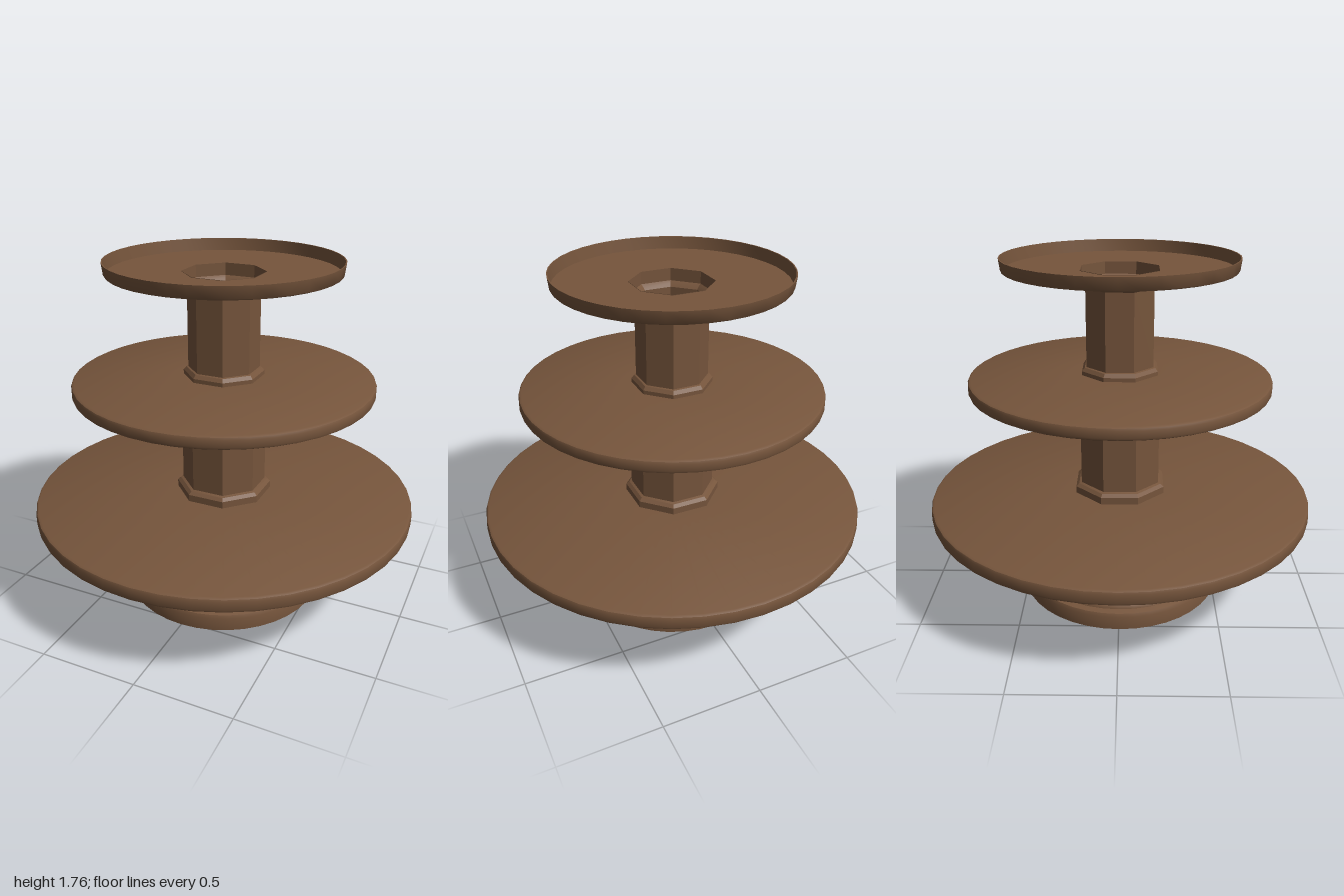
import * as THREE from 'three';
import { toCreasedNormals } from 'three/addons/utils/BufferGeometryUtils.js';

const wood = new THREE.MeshStandardMaterial({ color: 0x76553c, side: THREE.DoubleSide });
wood.name = 'brown wood';

// Turned part from [radius, y] points, listed bottom to top
function turned(name, profile, segments = 40) {
  const points = profile.map(([r, y]) => new THREE.Vector2(r, y));
  const geometry = toCreasedNormals(new THREE.LatheGeometry(points, segments), 0.6);
  const mesh = new THREE.Mesh(geometry, wood);
  mesh.name = name;
  return mesh;
}

// Eight-sided part with flats facing the axes, from [half width, y] points
function octagonal(name, profile) {
  const k = 1 / Math.cos(Math.PI / 8);
  const points = profile.map(([a, y]) => new THREE.Vector2(a * k, y));
  const geometry = new THREE.LatheGeometry(points, 8, Math.PI / 8);
  const mesh = new THREE.Mesh(toCreasedNormals(geometry, 0.3), wood);
  mesh.name = name;
  return mesh;
}

// Round shelf with softened edge and slightly raised centre
function shelf(name, r, bottom, top, centre) {
  return turned(name, [
    [0, bottom], [r - 0.015, bottom], [r - 0.004, bottom + 0.006], [r, bottom + 0.016],
    [r, top - 0.016], [r - 0.004, top - 0.006], [r - 0.015, top], [0.2, centre], [0, centre],
  ], 44);
}

export function createModel() {
  const group = new THREE.Group();
  group.name = 'tieredDisplayStand';

  // Moulded round foot and drum
  group.add(turned('base', [
    [0, 0], [0.525, 0], [0.527, 0.07], [0.52, 0.087], [0.492, 0.095], [0.488, 0.11],
    [0.472, 0.125], [0.468, 0.15], [0.46, 0.165], [0.458, 0.19], [0.435, 0.19],
    [0.435, 0.43], [0.45, 0.44], [0.45, 0.458],
  ]));

  // Lower and middle shelves
  group.add(shelf('lowerShelf', 0.99, 0.455, 0.53, 0.545));
  group.add(shelf('middleShelf', 0.762, 1.11, 1.175, 1.185));

  // Octagonal columns with stepped foot and cap
  group.add(octagonal('lowerColumn', [
    [0.228, 0.535], [0.228, 0.58], [0.213, 0.595], [0.2, 0.6], [0.2, 1.035],
    [0.217, 1.05], [0.217, 1.095], [0.2, 1.112],
  ]));
  group.add(octagonal('upperColumn', [
    [0.188, 1.175], [0.188, 1.205], [0.175, 1.222], [0.166, 1.225], [0.166, 1.615],
    [0.178, 1.63], [0.19, 1.64], [0.19, 1.702],
  ]));

  // Shallow top tray: floor with an octagonal opening, and a thin raised rim
  const floorShape = new THREE.Shape().absarc(0, 0, 0.568, 0, Math.PI * 2);
  const opening = new THREE.Path();
  for (let i = 0; i < 8; i++) {
    const a = Math.PI / 8 - i * Math.PI / 4, r = 0.19 / Math.cos(Math.PI / 8);
    if (i) opening.lineTo(r * Math.cos(a), r * Math.sin(a));
    else opening.moveTo(r * Math.cos(a), r * Math.sin(a));
  }
  opening.closePath();
  floorShape.holes.push(opening);
  const floor = new THREE.Mesh(new THREE.ShapeGeometry(floorShape, 20), wood);
  floor.name = 'topTrayFloor';
  floor.rotation.x = -Math.PI / 2;
  floor.position.y = 1.7;
  group.add(floor);
  group.add(turned('topTrayRim', [[0.568, 1.7], [0.573, 1.706], [0.58, 1.762], [0.574, 1.762], [0.566, 1.7]]));

  return group;
}
